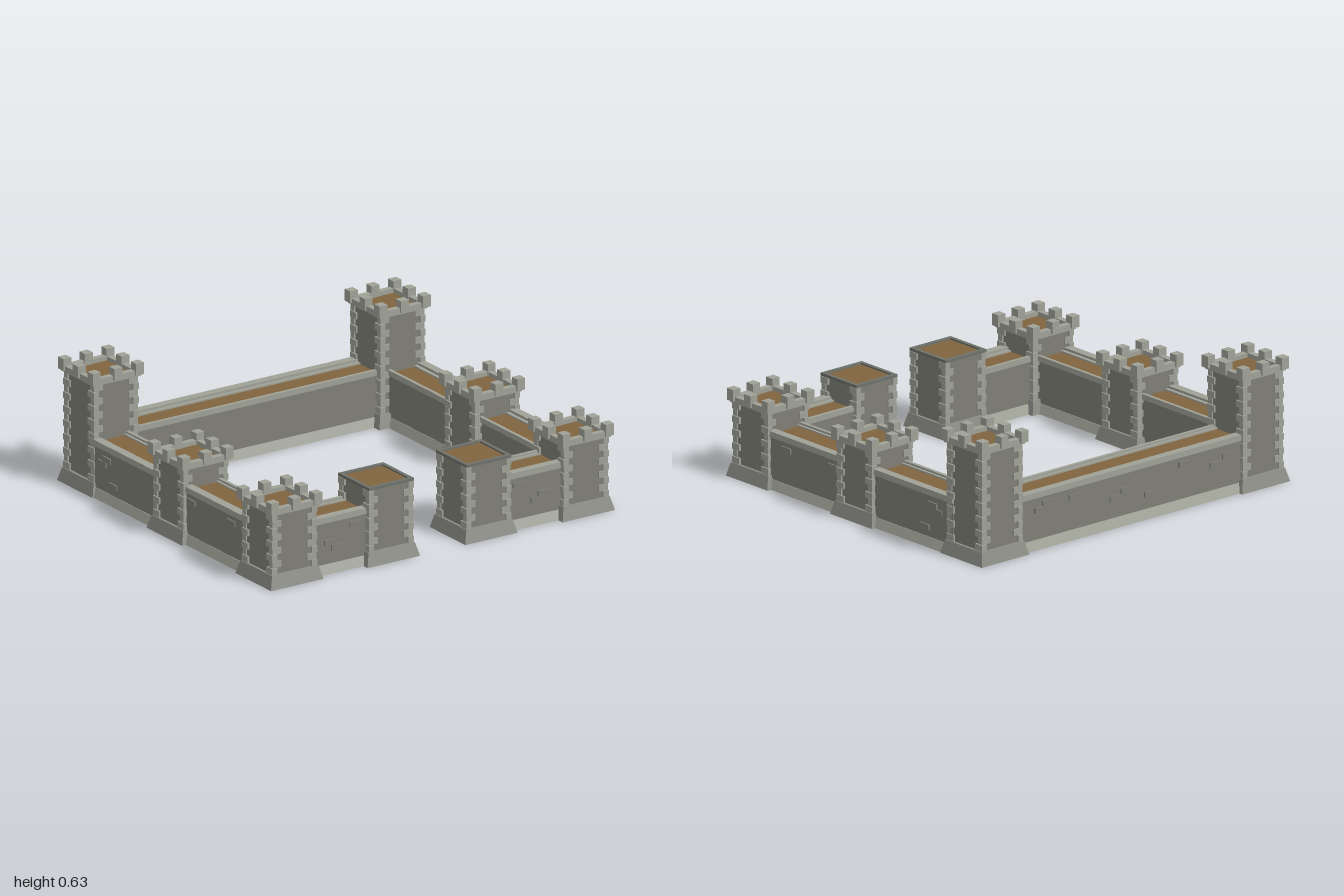
import * as THREE from 'three';

const mat = (color) => new THREE.MeshStandardMaterial({ color, flatShading: true });
const stone = mat(0x7f7f77), trim = mat(0xa0a297), footing = mat(0x8b8d85), dark = mat(0x6f726b), brown = mat(0x80643f);

function add(parent, name, geometry, material, x = 0, y = 0, z = 0) {
  const m = new THREE.Mesh(geometry, material);
  m.name = name;
  m.position.set(x, y, z);
  parent.add(m);
  return m;
}

// box given by its bottom height
const box = (parent, name, material, w, h, d, x, y, z) =>
  add(parent, name, new THREE.BoxGeometry(w, h, d), material, x, y + h / 2, z);

// square block with sloping sides
function frustum(bottom, top, h) {
  const g = new THREE.CylinderGeometry(top / Math.SQRT2, bottom / Math.SQRT2, h, 4);
  return g.rotateY(Math.PI / 4).translate(0, h / 2, 0);
}

// square ring lying flat
function ring(outer, inner, h) {
  const square = (P, r) => new P([[-r, -r], [r, -r], [r, r], [-r, r]].map(([x, y]) => new THREE.Vector2(x, y)));
  const s = square(THREE.Shape, outer);
  s.holes.push(square(THREE.Path, inner));
  return new THREE.ExtrudeGeometry(s, { depth: h, bevelEnabled: false }).rotateX(-Math.PI / 2);
}

// footing, shaft and alternating corner stones, shared by all towers
function towerShaft(name, x, z, top) {
  const g = new THREE.Group();
  g.name = name;
  g.position.set(x, 0, z);
  add(g, 'footing', frustum(0.305, 0.27, 0.068), footing);
  box(g, 'shaft', stone, 0.242, top - 0.06, 0.242, 0, 0.06, 0);
  const n = Math.round((top - 0.068) / 0.036), h = (top - 0.068) / n;
  for (let i = 0; i < n; i++) {
    const long = 0.052, short = 0.03, odd = i % 2;
    for (const sx of [-1, 1]) for (const sz of [-1, 1]) {
      const w = odd ? long : short, d = odd ? short : long, out = odd ? 0.128 : 0.131;
      box(g, 'cornerStone', trim, w, h * 0.94, d, sx * (out - w / 2), 0.068 + i * h, sz * (out - d / 2));
    }
  }
  return g;
}

// tower with battlements
function battlementTower(name, x, z, top) {
  const g = towerShaft(name, x, z, top);
  add(g, 'parapet', ring(0.138, 0.106, 0.032), trim, 0, top - 0.002, 0);
  box(g, 'towerFloor', brown, 0.214, 0.008, 0.214, 0, top, 0);
  for (const i of [-1, 0, 1]) for (const j of [-1, 0, 1]) {
    if (i || j) box(g, 'merlon', trim, 0.046, 0.06, 0.046, i * 0.126, top + 0.008, j * 0.126);
  }
  return g;
}

// plain flat-topped tower beside the entrance
function gateTower(name, x, z) {
  const g = towerShaft(name, x, z, 0.383);
  add(g, 'rim', ring(0.131, 0.112, 0.015), dark, 0, 0.383, 0);
  box(g, 'towerFloor', brown, 0.226, 0.006, 0.226, 0, 0.383, 0);
  return g;
}

// prism running along z from a profile of [outward, height] points
function prism(points, length) {
  const s = new THREE.Shape(points.map(([u, y]) => new THREE.Vector2(u, y)));
  return new THREE.ExtrudeGeometry(s, { depth: length, bevelEnabled: false }).translate(0, 0, -length / 2);
}

// wall facing local +x; bricks are [along, height] on its outer face
function wall(name, x, z, turn, length, bricks) {
  const g = new THREE.Group();
  g.name = name;
  g.position.set(x, 0, z);
  g.rotation.y = turn;
  add(g, 'wallFooting', prism([[-0.12, 0], [0.12, 0], [0.103, 0.047], [-0.103, 0.047]], length), trim);
  box(g, 'wallBody', stone, 0.2, 0.222, length, 0, 0.04, 0);
  box(g, 'walkway', brown, 0.122, 0.01, length, -0.016, 0.26, 0);
  // outer coping with a step, and the lower inner kerb
  add(g, 'outerCoping', prism([[0.044, 0.26], [0.108, 0.26], [0.108, 0.29], [0.064, 0.29], [0.064, 0.278], [0.044, 0.278]], length), trim);
  add(g, 'innerCoping', prism([[-0.108, 0.26], [-0.076, 0.26], [-0.076, 0.278], [-0.09, 0.278], [-0.09, 0.288], [-0.108, 0.288]], length), trim);
  for (const [s, y] of bricks) box(g, 'raisedBrick', stone, 0.016, 0.027, 0.068, 0.1, y, s);
  return g;
}

export function createModel() {
  const castle = new THREE.Group();
  castle.name = 'castle';

  // towers and walls mirrored left and right
  const sideBricks = [[0.525, 0.208], [0.185, 0.208], [-0.54, 0.202], [-0.578, 0.174], [-0.485, 0.082]];
  const frontBricks = [[-0.055, 0.143], [-0.015, 0.114], [0.089, 0.21]];
  for (const s of [1, -1]) {
    const side = s > 0 ? 'left' : 'right';
    const flip = (list) => list.map(([a, y]) => [a * s, y]);
    castle.add(
      battlementTower(side + 'FrontTower', s * 0.847, 0.77, 0.377),
      battlementTower(side + 'MiddleTower', s * 0.847, 0.01, 0.377),
      battlementTower(side + 'BackTower', s * 0.833, -0.777, 0.565),
      gateTower(side + 'GateTower', s * 0.284, 0.767),
      wall(side + 'SideWall', s * 0.858, 0, s > 0 ? 0 : Math.PI, 1.38, flip(sideBricks)),
      wall(side + 'FrontWall', s * 0.565, 0.767, -Math.PI / 2, 0.36, flip(frontBricks)),
    );
  }

  // back wall
  const backBricks = [[-0.62, 0.19], [-0.54, 0.162], [-0.34, 0.21], [-0.12, 0.11], [0.03, 0.16],
    [0.1, 0.132], [0.36, 0.2], [0.53, 0.21], [0.58, 0.182]];
  castle.add(wall('backWall', 0, -0.788, Math.PI / 2, 1.45, backBricks));
  return castle;
}
